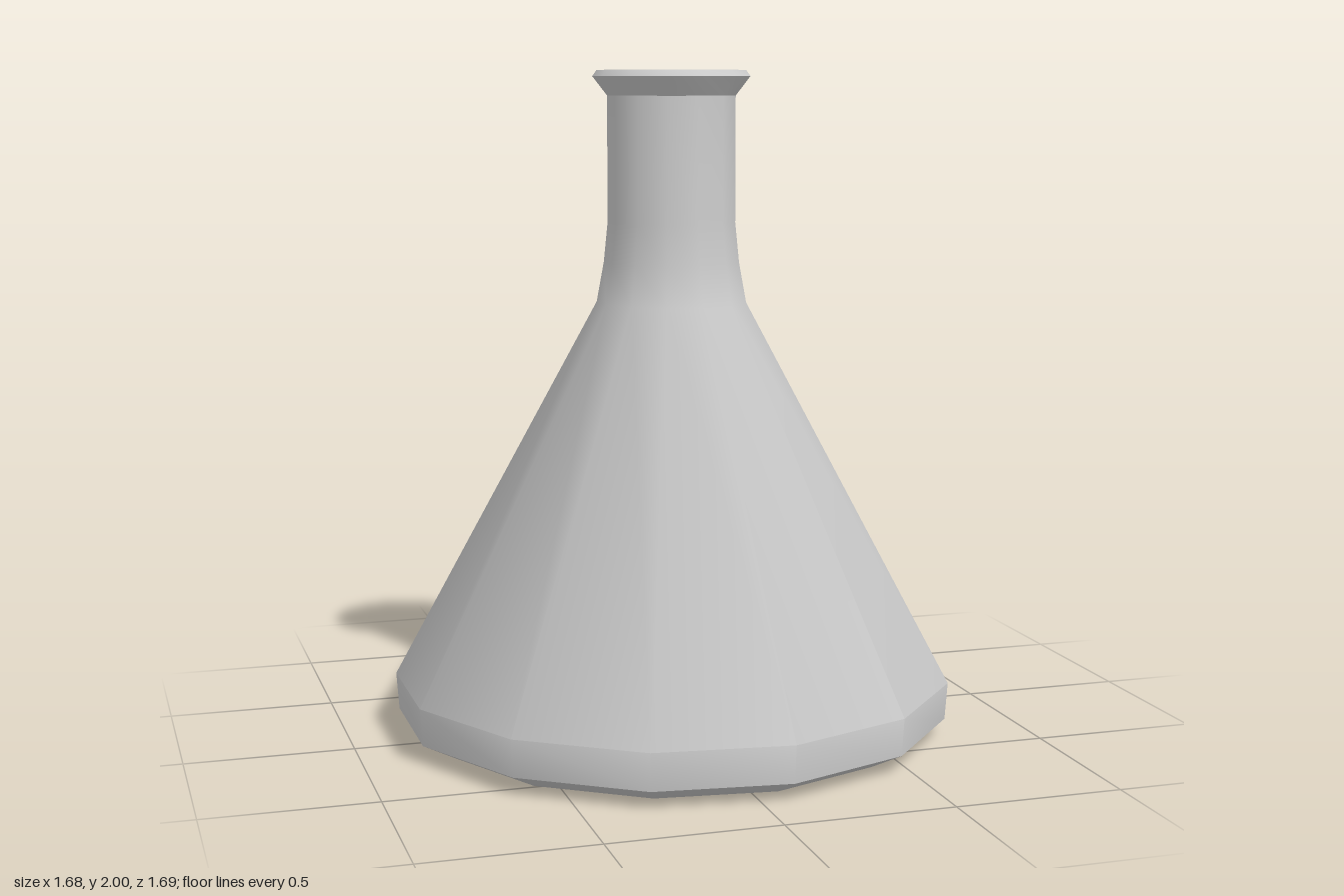
import * as THREE from 'three';
import { toCreasedNormals } from 'three/addons/utils/BufferGeometryUtils.js';

const SIDES = 13;

// Revolves a [radius, height] profile, with one corner pointing to +x
function revolve(name, profile, material) {
  const points = profile.map(([r, y]) => new THREE.Vector2(r, y));
  const lathe = new THREE.LatheGeometry(points, SIDES, Math.PI / 2);
  const mesh = new THREE.Mesh(toCreasedNormals(lathe, THREE.MathUtils.degToRad(34)), material);
  mesh.name = name;
  return mesh;
}

export function createModel() {
  const group = new THREE.Group();
  group.name = 'conicalFlask';
  const material = new THREE.MeshStandardMaterial({ color: 0xcccccc });

  const flask = revolve('flaskBody', [
    // flat base, bevel and short upright side
    [0, 0], [0.74, 0], [0.842, 0.053], [0.85, 0.165],
    // cone, curved shoulder and neck
    [0.227, 1.31], [0.205, 1.43], [0.193, 1.55], [0.193, 1.925],
    // flared lip
    [0.237, 1.982], [0.224, 2],
    // inner wall, back down to the inner floor
    [0.165, 1.925], [0.165, 1.55], [0.178, 1.43], [0.2, 1.3],
    [0.815, 0.165], [0.805, 0.08], [0.73, 0.04], [0, 0.04],
  ], material);

  // an odd-sided outline is centred by its bounds
  flask.position.x = -0.0125;
  group.add(flask);
  return group;
}
